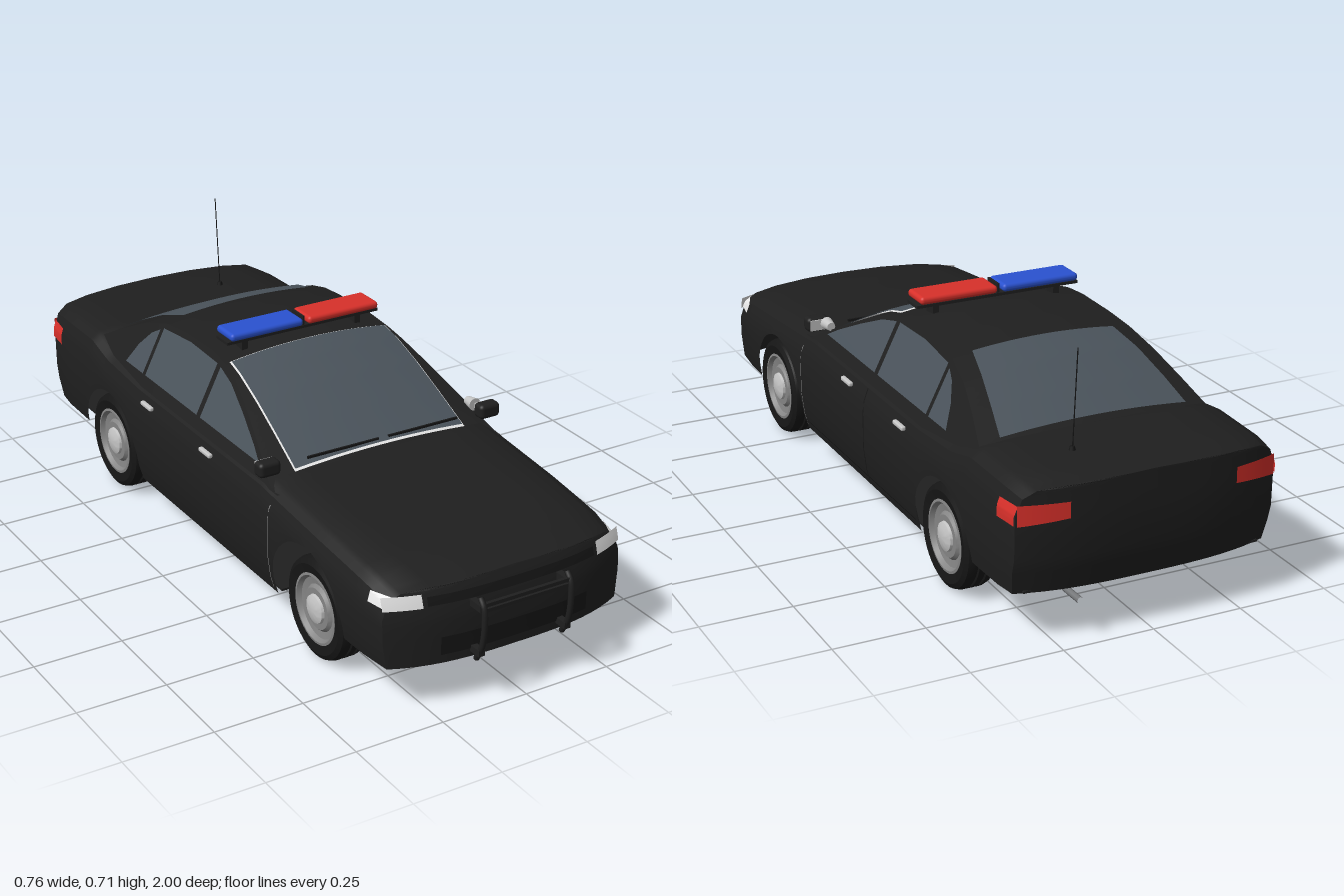
import * as THREE from 'three';
import { toCreasedNormals } from 'three/addons/utils/BufferGeometryUtils.js';
import { RoundedBoxGeometry } from 'three/addons/geometries/RoundedBoxGeometry.js';

const mat = (name, color, side = THREE.FrontSide) =>
  Object.assign(new THREE.MeshStandardMaterial({ color, side }), { name });

// linear lookup in a table of [position, value]
function at(table, p) {
  if (p <= table[0][0]) return table[0][1];
  for (let i = 1; i < table.length; i++) {
    const [a, va] = table[i - 1], [b, vb] = table[i];
    if (p <= b) return va + (vb - va) * (p - a) / Math.max(b - a, 1e-6);
  }
  return table[table.length - 1][1];
}
const lerp = THREE.MathUtils.lerp;

// body shape rules
const FRONT = 0.885, REAR = -0.95;
const ARCHES = [{ z: 0.545, r: 0.172 }, { z: -0.565, r: 0.163 }];
const topY = z => at([[-0.95, 0.425], [-0.88, 0.432], [-0.7, 0.435], [-0.6, 0.41], [-0.4, 0.395], [0.3, 0.395],
  [0.36, 0.388], [0.6, 0.368], [0.8, 0.348], [0.885, 0.328]], z);
const halfWidth = z => at([[-0.95, 0.36], [-0.88, 0.368], [-0.6, 0.373], [0.6, 0.373], [0.8, 0.368], [0.885, 0.358]], z);
function bodyX(y, z) {
  const T = topY(z);
  return halfWidth(z) * at([[0.085, 0.94], [0.13, 0.975], [0.2, 1], [T - 0.07, 1], [T - 0.025, 0.955], [T - 0.005, 0.86]], y);
}
function bottomY(z) {
  let y = z > 0.6 ? 0.125 : z < -0.6 ? 0.14 : 0.085;
  for (const a of ARCHES) {
    const d = Math.abs(z - a.z);
    if (d <= a.r) y = 0.135 + Math.sqrt(Math.max(0, a.r * a.r - d * d));
  }
  return y;
}
// bowed nose and tail
function warp(x, y, z) {
  const f = THREE.MathUtils.smoothstep(z, 0.7, FRONT), r = THREE.MathUtils.smoothstep(-z, 0.78, -REAR);
  const bow = 1 - Math.min(1, Math.abs(x / 0.365)) ** 3;
  const nose = 0.065 * bow - 0.02 * (Math.max(0, y - 0.22) / 0.1) ** 2;
  const tail = 0.046 * bow - 0.03 * Math.max(0, 0.25 - y) / 0.11;
  return [x, y, z + f * nose - r * tail];
}
function section(z) {
  const b = bottomY(z), T = topY(z);
  const ys = [b, 0.13, 0.165, 0.2, 0.24, T - 0.07, T - 0.045, T - 0.025, T - 0.013, T - 0.005].map(y => Math.max(b, y));
  const half = ys.map(y => [bodyX(y, z), y]);
  half.push([halfWidth(z) * 0.65, T + 0.001], [halfWidth(z) * 0.35, T + 0.005], [0, T + 0.007]);
  return half;
}
// greenhouse rules
const roofY = z => at([[-0.76, 0.415], [-0.685, 0.445], [-0.6, 0.492], [-0.5, 0.54], [-0.4, 0.57], [-0.3, 0.581], [-0.15, 0.584],
  [-0.06, 0.573], [0, 0.557], [0.1, 0.515], [0.2, 0.465], [0.32, 0.402], [0.37, 0.375]], z);
const cabinX = y => 0.335 - 0.5 * (y - 0.4);
const edgeY = z => Math.max(roofY(z) - 0.02, 0.37);
const crownY = (x, z) => roofY(z) - 0.02 * (x / cabinX(edgeY(z))) ** 2;

// surface from a rectangular net of points
function net(rows, crease = 0.5) {
  const n = rows[0].length, idx = [];
  for (let i = 0; i < rows.length - 1; i++)
    for (let j = 0; j < n - 1; j++) {
      const a = i * n + j, b = a + n;
      idx.push(a, b, a + 1, b, b + 1, a + 1);
    }
  const g = new THREE.BufferGeometry();
  g.setAttribute('position', new THREE.Float32BufferAttribute(rows.flat(2), 3));
  g.setIndex(idx);
  return toCreasedNormals(g, crease);
}
const patch = (nu, nv, fn) => net(Array.from({ length: nu + 1 }, (_, i) =>
  Array.from({ length: nv + 1 }, (_, j) => fn(i / nu, j / nv))));

export function createModel() {
  const D = THREE.DoubleSide;
  const black = mat('black paint', 0x1f1f1f, D), glass = mat('tinted glass', 0x4a535b, D),
    red = mat('red lens', 0xd8302a, D), blue = mat('blue lens', 0x2a52d0, D), white = mat('white lens', 0xececec, D),
    rubber = mat('rubber', 0x161616), rim = mat('wheel grey', 0x858585, D), bright = mat('bright metal', 0xc4c4c4),
    steel = mat('exhaust grey', 0x77797b);
  const car = new THREE.Group();
  car.name = 'patrolCar';
  const add = (name, geo, m, x = 0, y = 0, z = 0, parent = car) => {
    const mesh = new THREE.Mesh(geo, m);
    mesh.name = name;
    mesh.position.set(x, y, z);
    parent.add(mesh);
    return mesh;
  };
  const box = (name, m, w, h, d, x, y, z) => add(name, new THREE.BoxGeometry(w, h, d), m, x, y, z);
  const round = (name, m, w, h, d, x, y, z, r = 0.01) => add(name, new RoundedBoxGeometry(w, h, d, 3, r), m, x, y, z);
  const tube = (name, m, pts, r) => add(name, new THREE.TubeGeometry(
    new THREE.CatmullRomCurve3(pts.map(p => new THREE.Vector3(...p))), 28, r, 8), m);

  // lower body with open wheel arches
  const stations = [FRONT, 0.86, 0.83, 0.8, 0.76, 0.34, 0.3, 0.1, -0.1, -0.3, -0.76, -0.8, -0.84, -0.88, -0.92, REAR];
  for (const a of ARCHES) {
    for (let i = 0; i <= 18; i++) stations.push(a.z + a.r * Math.cos(Math.PI * i / 18));
    stations.push(a.z + a.r + 0.001, a.z - a.r - 0.001);
  }
  stations.sort((a, b) => b - a);
  add('bodyShell', net(stations.map(z => {
    const h = section(z);
    return [...h, ...h.slice(0, -1).reverse().map(([x, y]) => [-x, y])].map(([x, y]) => warp(x, y, z));
  })), black);
  for (const [name, z] of [['noseFace', FRONT], ['tailFace', REAR]]) {
    const h = section(z), s = z > 0 ? 1 : -1;
    add(name, patch(h.length - 1, 20, (u, v) => {
      const [x, y] = h[Math.round(u * (h.length - 1))];
      return warp(x * (1 - 2 * v) * s, y, z);
    }), black);
  }

  // cabin roof and pillars
  add('cabin', patch(56, 14, (u, v) => {
    const z = lerp(0.37, -0.76, u), e = edgeY(z), s = v < 0.5 ? 1 : -1, k = Math.round(Math.min(v, 1 - v) * 14);
    if (k < 2) { const y = lerp(0.37, e, k / 2); return [s * cabinX(y), y, z]; }
    const x = s * cabinX(e) * (1 - (k - 2) / 5);
    return [x, Math.max(crownY(x, z), 0.37), z];
  }), black);

  // windscreen, rear window and the light seal around the windscreen
  const screen = (name, m, z0, z1, w0, w1, lift) => add(name, patch(24, 12, (u, v) => {
    const z = lerp(z0, z1, u), x = lerp(w0, w1, u) * (1 - 2 * v);
    return [x, crownY(x, z) + lift, z];
  }), m);
  screen('windscreenSeal', white, 0.318, -0.06, 0.266, 0.248, 0.004);
  screen('windscreen', glass, 0.313, -0.055, 0.262, 0.244, 0.007);
  screen('rearWindow', glass, -0.405, -0.683, 0.205, 0.265, 0.006);
  for (const x of [-0.11, 0.14]) box('wiper', rubber, 0.22, 0.006, 0.006, x, 0.418, 0.303);

  // side windows lie on the sloping cabin side
  const windows = {
    frontSideWindow: [[0.25, 0.408], [-0.075, 0.408], [-0.075, 0.543], [0, 0.525], [0.1, 0.483], [0.2, 0.436]],
    rearSideWindow: [[-0.095, 0.408], [-0.4, 0.408], [-0.4, 0.538], [-0.25, 0.55], [-0.095, 0.546]],
    quarterWindow: [[-0.415, 0.408], [-0.52, 0.408], [-0.49, 0.465], [-0.45, 0.51], [-0.415, 0.53]],
  };
  for (const s of [1, -1]) {
    for (const [name, pts] of Object.entries(windows)) {
      const g = new THREE.ShapeGeometry(new THREE.Shape(pts.map(p => new THREE.Vector2(...p))));
      const p = g.attributes.position;
      for (let i = 0; i < p.count; i++) p.setXYZ(i, s * (cabinX(p.getY(i)) + 0.004), p.getY(i), p.getX(i));
      if (s > 0) g.setIndex([...g.index.array].reverse());
      g.computeVertexNormals();
      add(name, g, glass);
    }
  }

  // thin plates following the nose, tail and flanks
  const endPlate = (name, m, end, x0, x1, y0, y1, slant = 0) => add(name, patch(8, 3, (u, v) => {
    const x = lerp(x0, x1, u), y = lerp(y0 + slant * (1 - u), y1, v), s = Math.sign(end);
    const p = warp(x, y, end);
    return [p[0], p[1], p[2] + s * 0.004];
  }).scale(1, 1, 1), m);
  const sidePlate = (name, m, s, z0, z1, y0, y1, lift = 0.004) => add(name, patch(4, 8, (u, v) => {
    const z = lerp(z0, z1, u), y = lerp(y0, y1, v);
    const p = warp(bodyX(y, z), y, z);
    return [s * (p[0] + lift), p[1], p[2]];
  }), m);
  endPlate('grille', rubber, FRONT, -0.25, 0.25, 0.287, 0.31);
  endPlate('lowerIntake', rubber, FRONT, -0.22, 0.22, 0.15, 0.2);
  endPlate('bumperSeam', rubber, REAR, -0.35, 0.35, 0.222, 0.227);
  for (const s of [1, -1]) {
    endPlate('headlight', white, FRONT, s * 0.262, s * 0.357, 0.284, 0.318);
    sidePlate('headlightWrap', white, s, FRONT, 0.83, 0.288, 0.315);
    endPlate('tailLight', red, REAR, s * 0.23, s * 0.357, 0.33, 0.385, 0.012);
    sidePlate('tailLightWrap', red, s, REAR, -0.88, 0.332, 0.382);
    sidePlate('frontDoorSeam', rim, s, 0.361, 0.358, 0.1, 0.37, 0.002);
    sidePlate('middleDoorSeam', rubber, s, -0.083, -0.088, 0.1, 0.37, 0.002);
    sidePlate('sillSeam', rubber, s, 0.36, -0.39, 0.112, 0.116, 0.002);
    for (const z of [0.025, -0.318]) round('doorHandle', bright, 0.014, 0.013, 0.06, s * 0.373, 0.354, z, 0.005);
    // mirrors
    round('mirrorHousing', black, 0.064, 0.042, 0.04, s * 0.344, 0.424, 0.31, 0.012);
    box('mirrorGlass', bright, 0.05, 0.03, 0.004, s * 0.344, 0.424, 0.289);
  }
  const spot = add('spotlight', new THREE.CylinderGeometry(0.018, 0.012, 0.035, 16), bright, 0.325, 0.43, 0.262);
  spot.rotation.x = Math.PI / 2;

  // push bar
  for (const x of [-0.13, 0.13]) {
    tube('pushBarUpright', black, [[x, 0.125, 0.962], [x, 0.17, 0.985], [x, 0.23, 0.993], [x, 0.28, 0.988], [x, 0.3, 0.972]], 0.008);
    for (const y of [0.15, 0.275]) box('pushBarBracket', black, 0.018, 0.018, 0.06, x, y, 0.955);
  }
  for (const y of [0.27, 0.285]) box('pushBarRail', black, 0.26, 0.01, 0.01, 0, y, 0.985);

  // roof light bar
  box('lightBarBase', black, 0.48, 0.008, 0.06, 0, 0.599, -0.115);
  for (const x of [-0.18, 0.18]) box('lightBarFoot', black, 0.018, 0.035, 0.04, x, 0.583, -0.115);
  round('blueLight', blue, 0.226, 0.022, 0.09, -0.121, 0.618, -0.115);
  round('redLight', red, 0.226, 0.022, 0.09, 0.121, 0.618, -0.115);
  box('lightDivider', black, 0.006, 0.026, 0.06, 0, 0.617, -0.115);
  tube('antenna', rubber, [[0.14, 0.43, -0.825], [0.14, 0.57, -0.835], [0.14, 0.71, -0.845]], 0.0015);
  add('antennaBase', new THREE.CylinderGeometry(0.006, 0.009, 0.012, 12), rubber, 0.14, 0.442, -0.825);

  // wheels
  const lathe = pts => toCreasedNormals(new THREE.LatheGeometry(pts.map(p => new THREE.Vector2(...p)), 40), 0.6);
  const tyreGeo = lathe([[0.096, -0.04], [0.122, -0.045], [0.135, -0.038], [0.14, -0.024], [0.14, -0.016], [0.135, -0.014],
    [0.135, -0.01], [0.14, -0.008], [0.14, 0.008], [0.135, 0.01], [0.135, 0.014], [0.14, 0.016], [0.14, 0.024],
    [0.135, 0.038], [0.122, 0.045], [0.096, 0.04]]);
  const rimGeo = lathe([[0.097, -0.04], [0.092, 0], [0.097, 0.041], [0.09, 0.042], [0.083, 0.03], [0.064, 0.027], [0.056, 0.036], [0, 0.036]]);
  const hubGeo = lathe([[0.04, 0.035], [0.038, 0.043], [0.024, 0.049], [0, 0.051]]);
  hubGeo.scale(1, 1, 1);
  for (const z of [0.575, -0.565]) for (const s of [1, -1]) {
    const wheel = new THREE.Group();
    wheel.name = 'wheel';
    wheel.position.set(s * 0.32, 0.14, z);
    wheel.rotation.z = -s * Math.PI / 2;
    car.add(wheel);
    add('tyre', tyreGeo, rubber, 0, 0, 0, wheel);
    add('rim', rimGeo, rim, 0, 0, 0, wheel);
    add('hubCap', hubGeo, bright, 0, 0, 0, wheel).material.side = D;
    add('brakeDrum', new THREE.CylinderGeometry(0.045, 0.045, 0.04, 20), rim, 0, -0.005, 0, wheel);
  }

  // underside
  box('cabinFloor', black, 0.67, 0.006, 0.76, 0, 0.085, -0.015);
  box('frontTray', black, 0.37, 0.004, 0.4, 0, 0.063, 0.63);
  box('trunkFloor', black, 0.66, 0.006, 0.2, 0, 0.145, -0.84);
  box('engineSump', steel, 0.3, 0.06, 0.08, -0.08, 0.13, 0.42);
  round('muffler', steel, 0.16, 0.04, 0.12, 0.145, 0.1, -0.76, 0.015);
  round('fuelTank', steel, 0.16, 0.03, 0.12, -0.15, 0.113, -0.7, 0.008);
  round('catalyst', steel, 0.06, 0.018, 0.14, 0.03, 0.075, -0.02, 0.008);
  tube('exhaustPipe', steel, [[-0.03, 0.1, 0.42], [0.03, 0.072, 0.34], [0.03, 0.073, 0], [0.04, 0.073, -0.36], [0.06, 0.1, -0.55], [0.1, 0.1, -0.72]], 0.008);
  tube('tailPipe', steel, [[0.17, 0.1, -0.8], [0.19, 0.107, -0.88], [0.19, 0.107, -0.97]], 0.009);
  return car;
}
